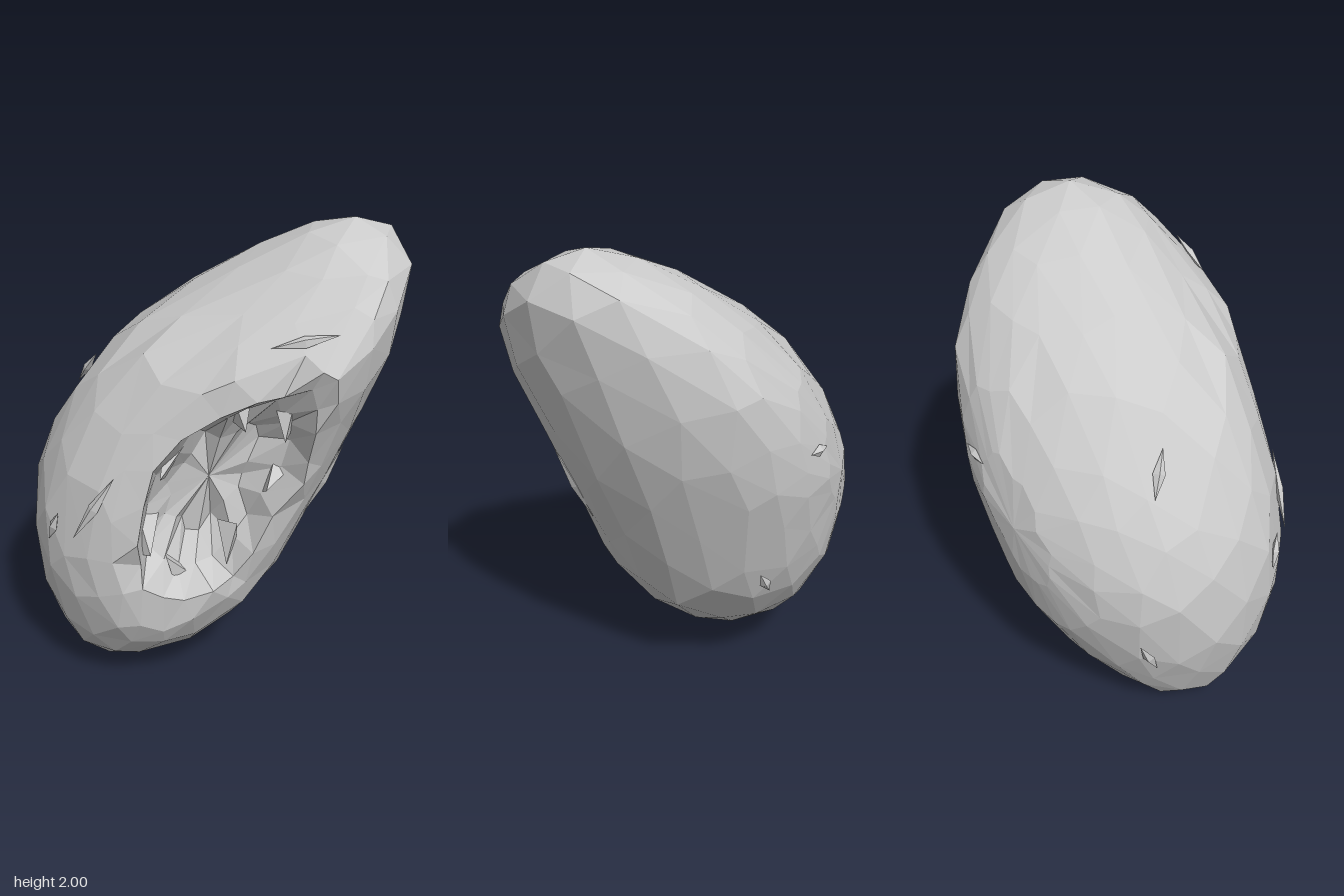
import * as THREE from 'three';

const SEG = 20;
// level outlines of the rock: y, then xMin, xMax, zMin, zMax,
// then where each side is widest: x at front, x at back, z at +x, z at -x
const LEVELS = [
  [0, -0.34, -0.34, 0.22, 0.22, -0.34, -0.34, 0.22, 0.22],
  [0.05, -0.49, -0.13, 0.07, 0.51, -0.31, -0.31, 0.29, 0.29],
  [0.2, -0.59, 0.12, -0.15, 0.61, -0.24, -0.24, 0.24, 0.24],
  [0.4, -0.675, 0.29, -0.37, 0.69, -0.2, -0.2, 0.17, 0.2],
  [0.6, -0.74, 0.37, -0.48, 0.71, -0.18, -0.2, 0.13, 0.2],
  [0.85, -0.745, 0.46, -0.56, 0.7, -0.17, -0.18, 0.08, 0.15],
  [1.07, -0.695, 0.55, -0.64, 0.64, -0.17, -0.15, 0.04, 0.05],
  [1.3, -0.575, 0.64, -0.69, 0.54, -0.15, -0.08, 0.04, -0.05],
  [1.54, -0.395, 0.735, -0.71, 0.4, -0.05, -0.03, 0.03, -0.15],
  [1.75, -0.15, 0.72, -0.67, 0.1, 0.2, 0.15, -0.15, -0.25],
  [1.86, 0.03, 0.67, -0.64, -0.03, 0.35, 0.3, -0.25, -0.32],
  [1.95, 0.22, 0.57, -0.53, -0.16, 0.4, 0.38, -0.33, -0.35],
  [2, 0.41, 0.41, -0.35, -0.35, 0.41, 0.41, -0.35, -0.35],
];

// the rings circle the axis of the hollow, which opens to the front left
const HOLLOW = 0.58;
const axis = new THREE.Vector3(Math.cos(HOLLOW), 0, Math.sin(HOLLOW));
const up = new THREE.Vector3(0, 1, 0);
const side = axis.clone().cross(up);

// [angle from the hollow's axis, inward push]
const RINGS = [
  [0, 0.3], [0.24, 0.28], [0.4, 0.18], [0.51, 0.04], [0.66, 0.01], [0.84, 0],
  [1.05, 0], [1.3, 0], [Math.PI / 2, 0], [1.84, 0], [2.1, 0], [2.36, 0],
  [2.64, 0], [2.9, 0], [Math.PI, 0],
];

const noise = (a, b) => {
  const s = Math.sin(a * 12.99 + b * 78.23) * 43758.55;
  return (s - Math.floor(s)) * 2 - 1;
};

// point of the skin at a height and heading (0 = +x, a quarter turn = +z)
function skinPoint(y, heading) {
  const i = Math.max(1, LEVELS.findIndex((level) => level[0] >= y));
  const low = LEVELS[i - 1], high = LEVELS[i];
  const t = (y - low[0]) / (high[0] - low[0]);
  const [, x0, x1, z0, z1, xFront, xBack, zPlus, zMinus] =
    low.map((v, k) => THREE.MathUtils.lerp(v, high[k], t));
  // each quadrant is a quarter ellipse about its own centre
  const c = Math.cos(heading), s = Math.sin(heading);
  const cx = s > 0 ? xFront : xBack, cz = c > 0 ? zPlus : zMinus;
  const rx = c > 0 ? x1 - cx : cx - x0, rz = s > 0 ? z1 - cz : cz - z0;
  return new THREE.Vector3(cx + rx * c, y, cz + rz * s);
}

function ringPoint(theta, phi, push) {
  const u = axis.clone().multiplyScalar(Math.cos(theta))
    .addScaledVector(up, Math.sin(theta) * Math.cos(phi))
    .addScaledVector(side, Math.sin(theta) * Math.sin(phi));
  const y = THREE.MathUtils.clamp(1 + u.y, 0, 2);
  return skinPoint(y, Math.atan2(u.z, u.x)).addScaledVector(axis, -push);
}

// body and hollow as one skin of staggered, uneven rings
function bodyGeometry() {
  const pos = [], index = [];
  RINGS.forEach(([theta, push], i) => {
    const uneven = i === 0 || i === 8 || i === RINGS.length - 1 ? 0 : 1;
    const slant = theta < 1 ? 0.16 : 0;
    for (let j = 0; j < SEG; j++) {
      const phi = ((j + (i % 2) / 2 + noise(i, j) * 0.2 * uneven) / SEG) * Math.PI * 2;
      const angle = theta + noise(j, i + 7) * 0.04 * uneven;
      const rough = i < 4 ? noise(i + 3, j) * 0.03 * uneven : 0;
      pos.push(...ringPoint(angle, phi + slant, push + rough));
    }
  });
  for (let i = 0; i < RINGS.length - 1; i++) {
    for (let j = 0; j < SEG; j++) {
      const a = i * SEG + j, b = i * SEG + (j + 1) % SEG;
      const c = a + SEG, d = b + SEG;
      if (i % 2) index.push(a, c, d, a, d, b);
      else index.push(a, c, b, b, c, d);
    }
  }
  const geo = new THREE.BufferGeometry();
  geo.setAttribute('position', new THREE.Float32BufferAttribute(pos, 3));
  geo.setIndex(index);
  const flat = geo.toNonIndexed();
  flat.computeVertexNormals();
  return flat;
}

// thin splinters standing slightly proud: [height, heading, length, roll]
const RIDGES = [
  [0.95, 1.4, 0.17, -0.4], [1.66, 0.75, 0.13, -0.75], [0.95, -0.3, 0.2, 0.1],
  [1.3, 2.6, 0.1, -0.4], [0.8, 1.75, 0.08, -0.4], [0.5, 3.0, 0.1, 0.3],
  [1.2, 4.0, 0.07, 1.0], [0.6, 4.6, 0.07, 0.4],
];

export function createModel() {
  const group = new THREE.Group();
  group.name = 'hollowRock';
  const material = new THREE.MeshStandardMaterial({ color: 0xcccccc, flatShading: true });
  const add = (geo, name) => {
    const mesh = new THREE.Mesh(geo, material);
    mesh.name = name;
    group.add(mesh);
    return mesh;
  };

  add(bodyGeometry(), 'rockBody');

  // loose splinters along the wall of the hollow
  for (let i = 0; i < 7; i++) {
    const shard = add(new THREE.TetrahedronGeometry(0.11), 'hollowShard');
    shard.position.copy(ringPoint(0.4, (i / 7) * Math.PI * 2 + 0.3, 0.17));
    shard.scale.set(0.5, 1.4, 0.6);
    shard.rotation.set(noise(i, 3) * 0.5, noise(i, 4) * 3, noise(i, 5) * 0.5);
  }

  // ridges lying along the outer skin
  for (const [y, heading, length, roll] of RIDGES) {
    const ridge = add(new THREE.OctahedronGeometry(1), 'surfaceRidge');
    const rise = skinPoint(y + 0.1, heading).sub(skinPoint(y - 0.1, heading)).normalize();
    const along = skinPoint(y, heading + 0.1).sub(skinPoint(y, heading - 0.1)).normalize();
    const out = rise.clone().cross(along).normalize();
    ridge.position.copy(skinPoint(y, heading));
    ridge.scale.set(0.025, length, 0.018);
    const basis = new THREE.Matrix4().makeBasis(rise.clone().cross(out), rise, out);
    ridge.quaternion.setFromRotationMatrix(basis);
    ridge.rotateZ(roll);
  }
  return group;
}
